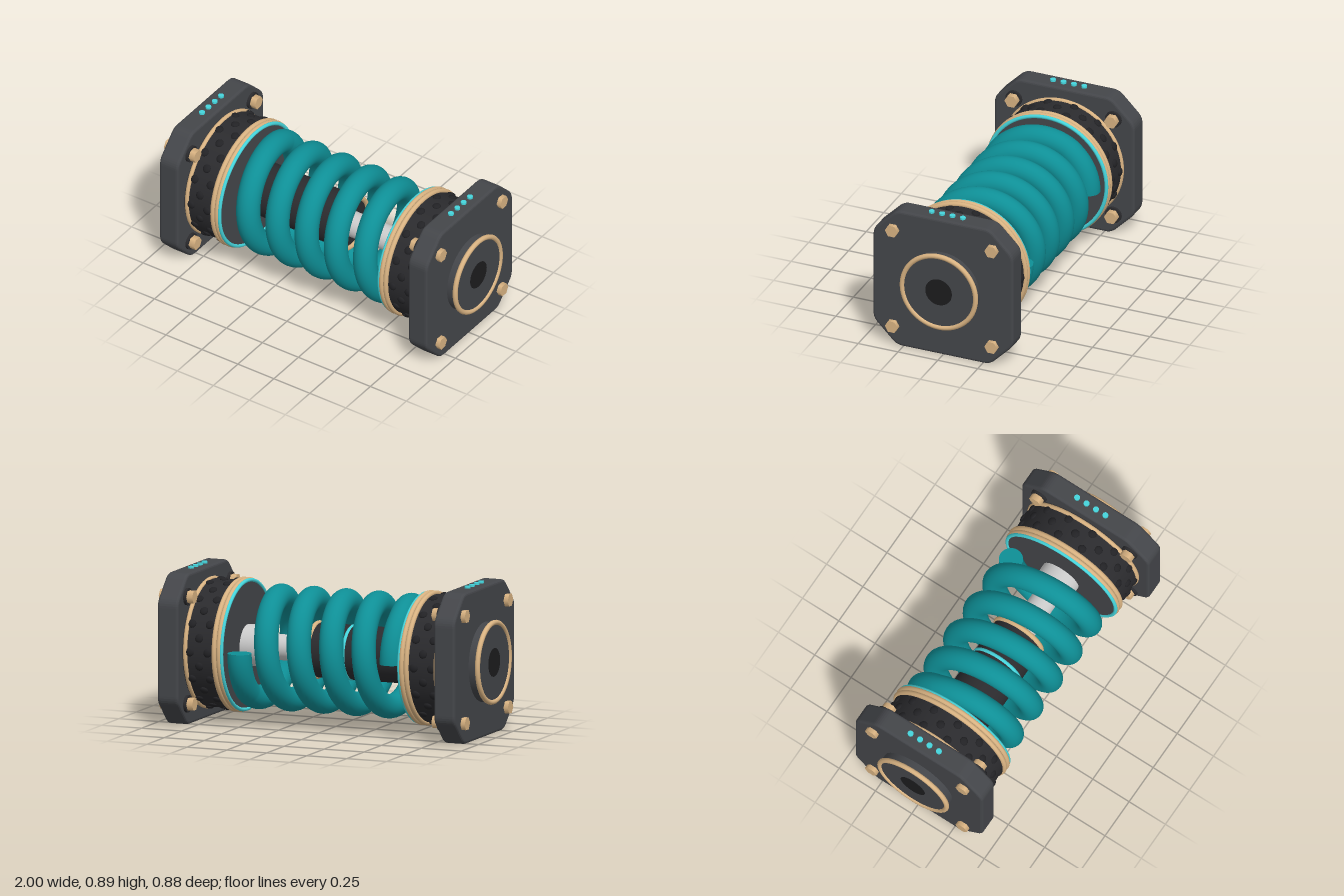
import * as THREE from 'three';

const MID = 0.44; // height of the main axis
const mat = (color) => new THREE.MeshStandardMaterial({ color });
const M = {
  plate: mat(0x44464a), dark: mat(0x2b2b2e), black: mat(0x1c1c1e), bump: mat(0x222225),
  gold: mat(0xd9b382), teal: mat(0x0e8f96), cyan: mat(0x45d5dc), steel: mat(0xcccccc),
};

function add(parent, name, geometry, material, x = 0, y = 0, z = 0) {
  const mesh = new THREE.Mesh(geometry, material);
  mesh.name = name;
  mesh.position.set(x, y, z);
  parent.add(mesh);
  return mesh;
}

// Cylinder lying along x between x0 and x1
function rod(parent, name, material, radius, x0, x1, y = 0, z = 0, sides = 64) {
  const g = new THREE.CylinderGeometry(radius, radius, x1 - x0, sides).rotateZ(-Math.PI / 2);
  return add(parent, name, g, material, (x0 + x1) / 2, y, z);
}

// Torus around the x axis
function ring(parent, name, material, radius, tube, x) {
  return add(parent, name, new THREE.TorusGeometry(radius, tube, 12, 72).rotateY(Math.PI / 2), material, x);
}

// Square plate with cut, softened corners and bevelled edges
function plateGeometry() {
  const bevel = 0.015, h = 0.439 - bevel, c = 0.286, soft = 0.03;
  const corners = [[c, h], [-c, h], [-h, c], [-h, -c], [-c, -h], [c, -h], [h, -c], [h, c]]
    .map(([x, y]) => new THREE.Vector2(x, y));
  const shape = new THREE.Shape();
  corners.forEach((p, i) => {
    const toward = (q) => p.clone().add(q.clone().sub(p).setLength(soft));
    const a = toward(corners[(i + 7) % 8]), b = toward(corners[(i + 1) % 8]);
    if (i) shape.lineTo(a.x, a.y);
    else shape.moveTo(a.x, a.y);
    shape.quadraticCurveTo(p.x, p.y, b.x, b.y);
  });
  shape.closePath();
  return new THREE.ExtrudeGeometry(shape, {
    depth: 0.13 - 2 * bevel, bevelThickness: bevel, bevelSize: bevel, bevelSegments: 3, curveSegments: 5,
  }).translate(0, 0, bevel).rotateY(Math.PI / 2);
}

// One end assembly, built at +x
function createEnd() {
  const end = new THREE.Group();

  add(end, 'endPlate', plateGeometry(), M.plate, 0.8);
  rod(end, 'endHub', M.plate, 0.232, 0.92, 0.989);
  ring(end, 'hubRing', M.gold, 0.23, 0.015, 0.985);
  rod(end, 'hubBore', M.black, 0.083, 0.97, 0.991);

  // Bolts through the plate corners
  for (const y of [-0.312, 0.312]) {
    for (const z of [-0.312, 0.312]) {
      rod(end, 'boltHead', M.gold, 0.04, 0.92, 0.957, y, z, 6);
      rod(end, 'boltWasher', M.dark, 0.05, 0.785, 0.805, y, z, 24);
      rod(end, 'boltNut', M.gold, 0.04, 0.748, 0.79, y, z, 6);
    }
  }

  // Indicator studs on the top edge
  for (let i = 0; i < 4; i++) {
    add(end, 'indicatorStud', new THREE.CylinderGeometry(0.017, 0.017, 0.03, 20), M.cyan,
      0.865, 0.436, (i - 1.5) * 0.065);
  }

  // Collar with its rings and the spring seat
  rod(end, 'collar', M.dark, 0.37, 0.59, 0.81);
  ring(end, 'outerCollarRing', M.gold, 0.369, 0.013, 0.783);
  for (const x of [0.572, 0.601]) ring(end, 'innerCollarRing', M.gold, 0.374, 0.015, x);
  rod(end, 'springSeat', M.plate, 0.374, 0.552, 0.6);
  ring(end, 'seatRing', M.cyan, 0.373, 0.011, 0.556);

  // Three staggered rows of flattened bumps
  const bump = new THREE.SphereGeometry(0.025, 14, 10).scale(1, 1, 0.5);
  [0.645, 0.7, 0.755].forEach((x, row) => {
    for (let i = 0; i < 14; i++) {
      const a = ((i + (row % 2) / 2) / 14) * Math.PI * 2;
      const m = add(end, 'collarBump', bump, M.bump, x, Math.sin(a) * 0.37, Math.cos(a) * 0.37);
      m.rotation.x = -a;
    }
  });
  return end;
}

// Helix around x whose ends are held flat against the seats
class SpringCurve extends THREE.Curve {
  getPoint(t, target = new THREE.Vector3()) {
    const a = t * 5 * Math.PI * 2, r = 0.295;
    const x = THREE.MathUtils.clamp((t - 0.5) * 1.016, -0.476, 0.476);
    return target.set(x, Math.sin(a) * r, -Math.cos(a) * r);
  }
}

function createSpring() {
  const spring = new THREE.Group();
  spring.name = 'spring';
  const curve = new SpringCurve(), tube = 0.07;
  add(spring, 'springCoil', new THREE.TubeGeometry(curve, 400, tube, 24), M.teal);
  for (const t of [0, 1]) {
    const cap = add(spring, 'springCap', new THREE.CircleGeometry(tube, 24), M.teal);
    cap.position.copy(curve.getPoint(t));
    cap.rotation.x = t ? -Math.PI / 2 : Math.PI / 2;
  }
  return spring;
}

export function createModel() {
  const model = new THREE.Group();
  const body = new THREE.Group();
  body.name = 'damper';
  body.position.y = MID;
  model.add(body);

  // Matching ends
  const left = createEnd();
  left.name = 'leftEnd';
  const right = createEnd();
  right.name = 'rightEnd';
  right.rotation.y = Math.PI;
  body.add(left, right);

  // Damper cylinder and piston
  rod(body, 'damperCylinder', M.dark, 0.158, -0.56, 0.11);
  ring(body, 'cylinderBand', M.cyan, 0.152, 0.012, -0.11);
  ring(body, 'cylinderEndRing', M.gold, 0.155, 0.015, 0.112);
  rod(body, 'pistonRod', M.steel, 0.075, 0.1, 0.5);
  rod(body, 'pistonMount', M.steel, 0.12, 0.43, 0.56);

  body.add(createSpring());
  return model;
}
